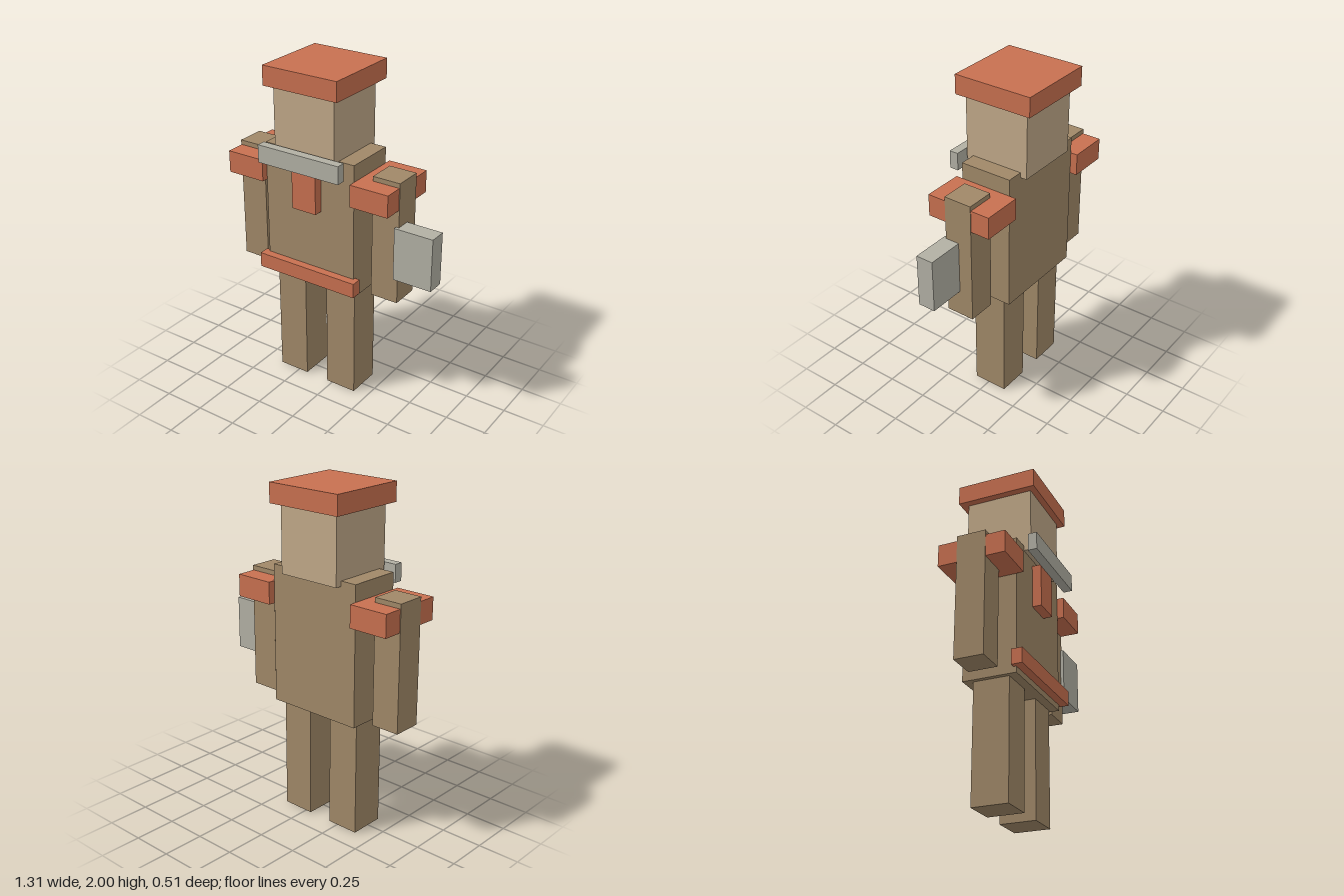
import * as THREE from 'three';

const material = (color) => new THREE.MeshStandardMaterial({ color, flatShading: true });

export function createModel() {
  const model = new THREE.Group();
  const cloth = material(0xa08868);
  const skin = material(0xc0a888);
  const red = material(0xc87050);
  const metal = material(0xb2b0a4);
  const midX = -0.113; // body centre line, offset by the held plate

  // Box from its lower and upper limits on each axis
  function block(name, mat, [x0, x1], [y0, y1], [z0, z1]) {
    const mesh = new THREE.Mesh(new THREE.BoxGeometry(x1 - x0, y1 - y0, z1 - z0), mat);
    mesh.position.set((x0 + x1) / 2, (y0 + y1) / 2, (z0 + z1) / 2);
    mesh.name = name;
    model.add(mesh);
  }
  // Block centred on the body's centre line
  const centred = (name, mat, width, y, z) =>
    block(name, mat, [midX - width / 2, midX + width / 2], y, z);
  // Mirrored pair, given the near and far distance from the centre line
  function pair(name, mat, near, far, y, z) {
    block('left' + name, mat, [midX + near, midX + far], y, z);
    block('right' + name, mat, [midX - far, midX - near], y, z);
  }

  // Body and head
  centred('torso', cloth, 0.598, [0.695, 1.52], [-0.172, 0.147]);
  centred('head', skin, 0.398, [1.49, 1.89], [-0.212, 0.19]);
  centred('hat', red, 0.484, [1.885, 2], [-0.256, 0.227]);

  // Limbs
  pair('Leg', cloth, 0.076, 0.273, [0, 0.7], [-0.118, 0.095]);
  pair('Arm', cloth, 0.372, 0.544, [0.71, 1.45], [-0.099, 0.073]);
  pair('ShoulderPad', red, 0.298, 0.54, [1.29, 1.422], [-0.215, 0.188]);

  // Clothing details on the front
  centred('collarBar', metal, 0.538, [1.44, 1.546], [0.202, 0.256]);
  centred('chestPanel', red, 0.16, [1.187, 1.45], [0.135, 0.202]);
  centred('belt', red, 0.661, [0.73, 0.82], [0.13, 0.195]);

  // Plate at the left arm
  block('handPlate', metal, [0.413, 0.654], [0.868, 1.187], [-0.014, 0.092]);

  return model;
}
